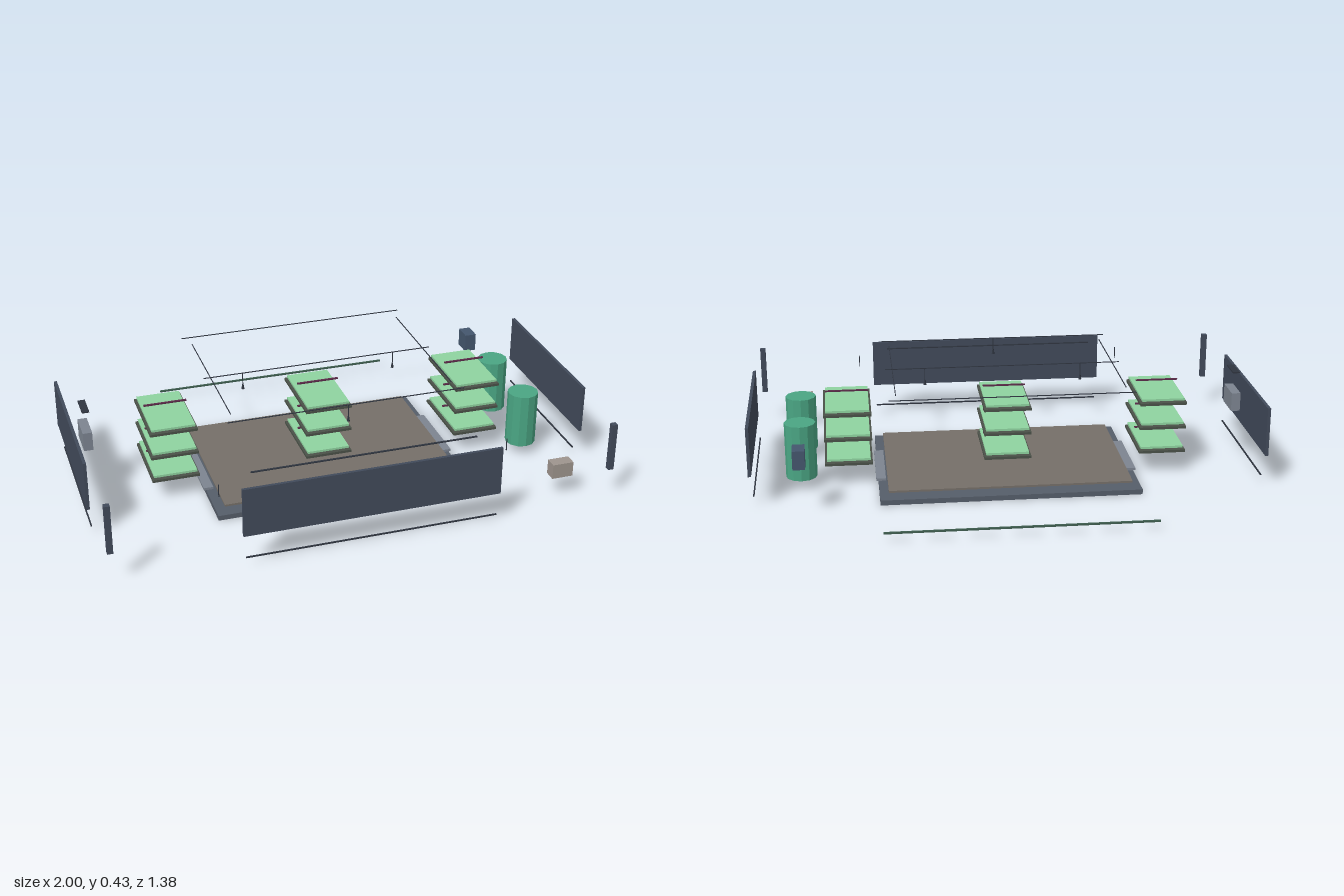
import * as THREE from 'three';

const mat = (color, rough = 0.8) => new THREE.MeshStandardMaterial({ color, roughness: rough, flatShading: true });
const M = {
  wall: mat(0x414a5a), base: mat(0x555d69), floor: mat(0x756f68), dark: mat(0x2f3540),
  tray: mat(0x4a5148), crop: mat(0x8fd3a0), light: mat(0x5a2a48), tank: mat(0x4aa583),
  rail: mat(0x3f5f50), grey: mat(0x7c8490), crate: mat(0x9d948d), unit: mat(0x44566d),
};

export function createModel() {
  const root = new THREE.Group();
  const add = (name, geo, m, x, y, z, parent = root) => {
    const mesh = new THREE.Mesh(geo, m);
    mesh.name = name;
    mesh.position.set(x, y, z);
    parent.add(mesh);
    return mesh;
  };
  // Box given by its size and centre
  const box = (name, m, w, h, d, x, y, z, parent) =>
    add(name, new THREE.BoxGeometry(w, h, d), m, x, y, z, parent);

  // Base slab and raised floor panel
  box('baseSlab', M.base, 1.014, 0.02, 0.702, 0, 0.01, 0);
  box('floorPanel', M.floor, 0.946, 0.008, 0.634, 0, 0.04, 0);

  // Outer walls, pulled away from the base
  box('frontWall', M.wall, 0.994, 0.195, 0.012, 0, 0.2325, 0.684);
  box('frontBottomRail', M.dark, 0.975, 0.005, 0.005, 0, 0.041, 0.682);
  box('frontTopRail', M.dark, 0.875, 0.004, 0.007, 0, 0.331, 0.581);
  box('backRail', M.rail, 1.014, 0.007, 0.007, 0, 0.036, -0.686);

  // Parts mirrored on both sides
  for (const s of [-1, 1]) {
    box('sideWall', M.wall, 0.012, 0.195, 0.684, s * 0.994, 0.2325, 0);
    box('sideBottomRail', M.dark, 0.005, 0.005, 0.62, s * 0.984, 0.044, 0);
    box('cornerPost', M.wall, 0.022, 0.195, 0.022, s * 0.971, 0.2325, 0.645);
    box('baseStrip', M.grey, 0.038, 0.01, 0.305, s * 0.497, 0.025, 0);
    box('frontHanger', M.dark, 0.003, 0.05, 0.003, s * 0.558, 0.278, 0.585);
    box('sideRoofRail', M.dark, 0.003, 0.003, 0.62, s * 0.438, 0.427, 0);
  }

  // Roof rails along the length
  for (const z of [-0.373, 0, 0.373]) {
    box('longRoofRail', M.dark, 0.932, 0.003, 0.003, 0, 0.428, z);
  }

  // Hanging spray nozzles
  for (const [x, z] of [[-0.31, 0], [0.31, 0], [0, 0.373]]) {
    const nozzle = new THREE.Group();
    nozzle.name = 'nozzle';
    nozzle.position.set(x, 0, z);
    root.add(nozzle);
    box('nozzleStem', M.dark, 0.003, 0.05, 0.003, 0, 0.402, 0, nozzle);
    add('nozzleHead', new THREE.CylinderGeometry(0.003, 0.006, 0.02, 8), M.dark, 0, 0.37, 0, nozzle);
  }

  // Three racks of three growing trays, each with a light bar
  for (const x of [-0.622, -0.004, 0.62]) {
    const rack = new THREE.Group();
    rack.name = 'growingRack';
    rack.position.x = x;
    root.add(rack);
    for (let i = 0; i < 3; i++) {
      const y = 0.095 + i * 0.1;
      box('tray', M.tray, 0.186, 0.01, 0.306, 0, y, 0, rack);
      box('crop', M.crop, 0.17, 0.009, 0.288, 0, y + 0.015, 0, rack);
      box('lightBar', M.light, 0.168, 0.005, 0.009, 0, y + 0.052, 0, rack);
    }
  }

  // Water tanks
  for (const z of [-0.125, 0.187]) {
    add('tank', new THREE.CylinderGeometry(0.061, 0.061, 0.222, 12), M.tank, 0.805, 0.156, z);
  }

  // Service units around the sides
  box('controlUnit', M.unit, 0.047, 0.074, 0.074, 0.806, 0.23, -0.4);
  box('supplyCrate', M.crate, 0.085, 0.06, 0.048, 0.805, 0.119, 0.559);
  box('ventUnit', M.grey, 0.036, 0.075, 0.122, -0.937, 0.26, 0);
  box('ventCover', M.dark, 0.028, 0.005, 0.1, -0.936, 0.381, 0);

  return root;
}
